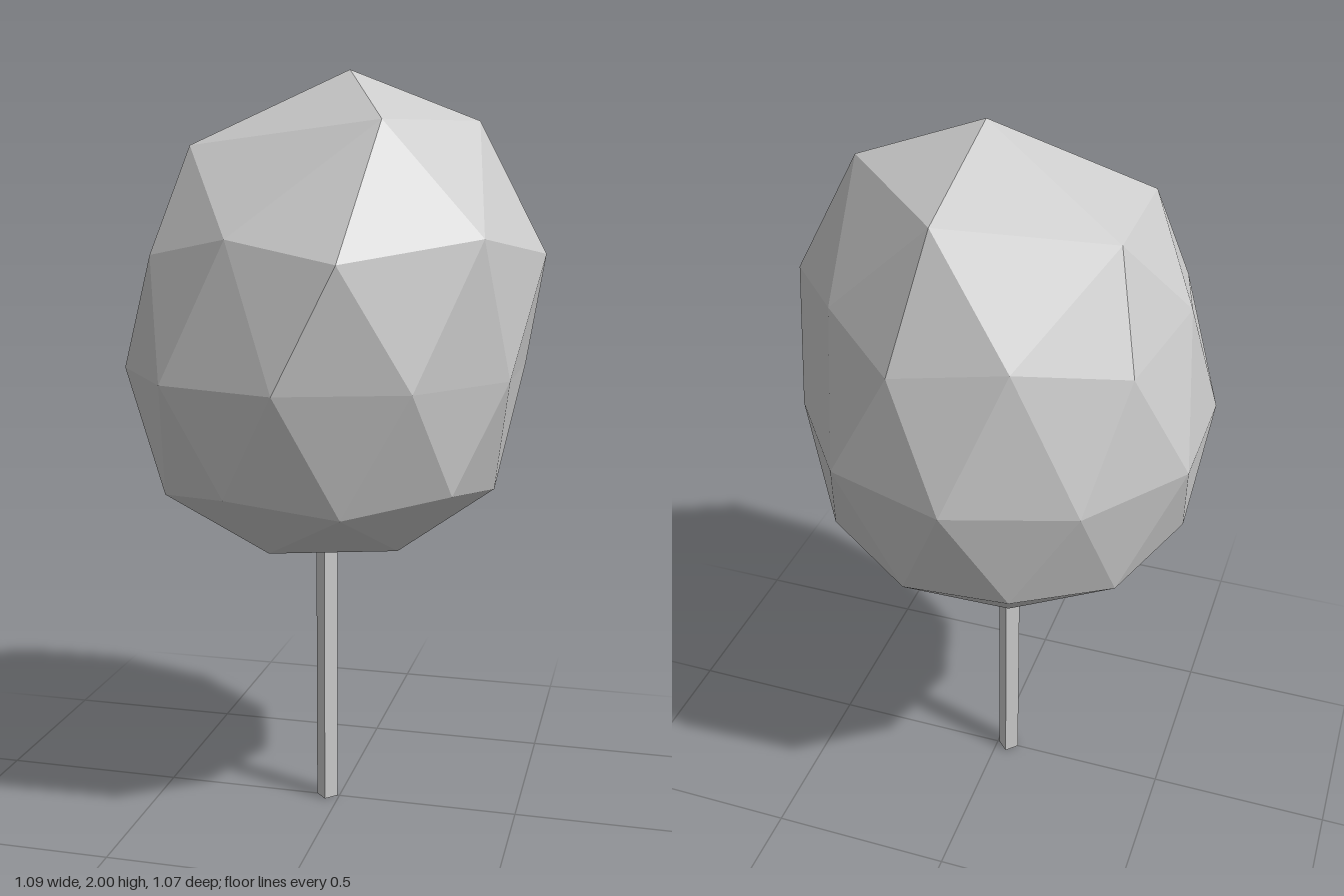
import * as THREE from 'three';

const CX = -0.033; // axis shared by trunk and crown

// Point on a ring around the tree axis, angle in degrees from +x towards +z
function ringPoint(radius, y, degrees) {
  const a = THREE.MathUtils.degToRad(degrees);
  return [CX + radius * Math.cos(a), y, radius * Math.sin(a)];
}

// Ten points alternating between two radii and heights
function alternatingRing(even, odd) {
  return Array.from({ length: 10 }, (_, j) => ringPoint(...(j % 2 ? odd : even), 36 * j));
}

function crownGeometry() {
  const top = [0.028, 2, 0];
  const bottom = [CX, 0.76, 0];

  // Uneven shoulder of the crown
  const shoulder = [
    [0.366, 1.87, 0], [0.17, 1.87, 0.27], [-0.35, 1.81, 0.167],
    [-0.35, 1.81, -0.167], [0.052, 1.862, -0.323],
  ];

  // Upper ring, with the bulges on the left front side
  const upper = alternatingRing([0.48, 1.54], [0.457, 1.59]);
  upper[0] = [0.542, 1.54, 0];
  upper[1] = [0.422, 1.59, 0.27];
  upper[2] = [0.115, 1.54, 0.505];

  // Regular middle and underside
  const middle = Array.from({ length: 10 }, (_, j) => ringPoint(0.537, 1.235, 36 * j + 18));
  const lower = alternatingRing([0.455, 0.92], [0.48, 0.96]);
  const base = Array.from({ length: 5 }, (_, k) => ringPoint(0.283, 0.78, 72 * k + 36));

  const positions = [];
  const tri = (a, b, c) => positions.push(...a, ...b, ...c);

  // Caps: five sectors each
  for (let k = 0; k < 5; k++) {
    const n = (k + 1) % 5;
    const u0 = upper[2 * k], u1 = upper[2 * k + 1], u2 = upper[(2 * k + 2) % 10];
    tri(top, shoulder[n], shoulder[k]);
    tri(shoulder[k], u1, u0);
    tri(shoulder[k], shoulder[n], u1);
    tri(shoulder[n], u2, u1);

    const l0 = lower[2 * k + 1], l1 = lower[(2 * k + 2) % 10], l2 = lower[(2 * k + 3) % 10];
    tri(bottom, base[k], base[n]);
    tri(base[k], l0, l1);
    tri(base[k], l1, base[n]);
    tri(base[n], l1, l2);
  }

  // Two zigzag bands above and below the middle ring
  for (let j = 0; j < 10; j++) {
    const n = (j + 1) % 10, p = (j + 9) % 10;
    tri(upper[j], middle[j], middle[p]);
    tri(upper[j], upper[n], middle[j]);
    tri(lower[j], middle[p], middle[j]);
    tri(lower[j], middle[j], lower[n]);
  }

  const geometry = new THREE.BufferGeometry();
  geometry.setAttribute('position', new THREE.Float32BufferAttribute(positions, 3));
  geometry.computeVertexNormals();
  return geometry;
}

export function createModel() {
  const model = new THREE.Group();
  model.name = 'tree';
  const material = new THREE.MeshStandardMaterial({ color: 0xcccccc, flatShading: true });

  const crown = new THREE.Mesh(crownGeometry(), material);
  crown.name = 'crown';

  // Four-sided trunk with its corners facing the axes
  const trunk = new THREE.Mesh(new THREE.CylinderGeometry(0.03, 0.03, 0.8, 4), material);
  trunk.name = 'trunk';
  trunk.position.set(CX - 0.002, 0.4, 0);

  model.add(crown, trunk);
  return model;
}
